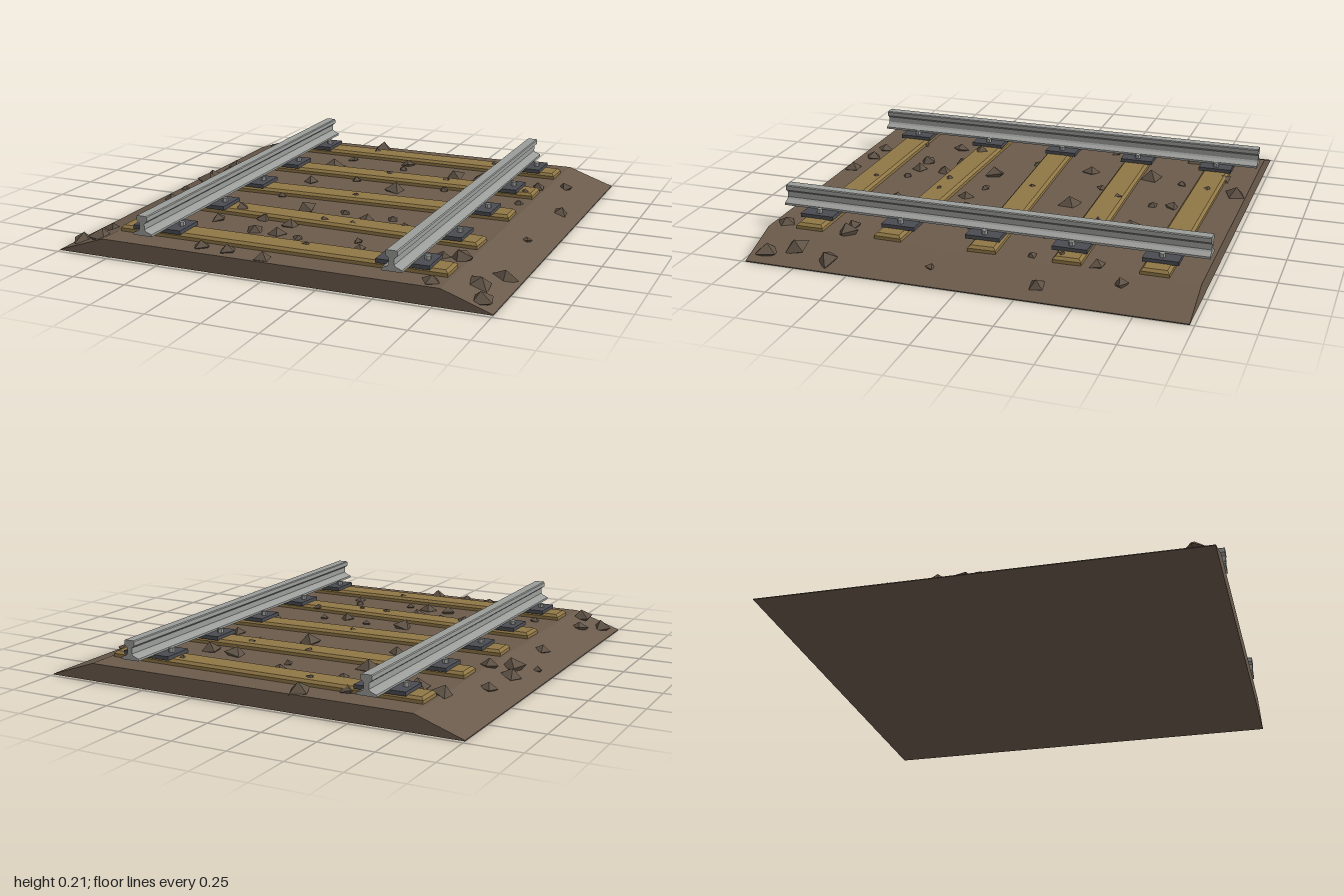
import * as THREE from 'three';
import { mergeGeometries } from 'three/addons/utils/BufferGeometryUtils.js';

const HALF_LENGTH = 0.98;
const SHOULDER = 0.78;
const BED_TOP = 0.08;

const flat = (name, color) => {
  const m = new THREE.MeshStandardMaterial({ color, flatShading: true });
  m.name = name;
  return m;
};

// Small seeded generator for stone shapes
function seeded(seed) {
  return () => {
    seed = (seed * 16807) % 2147483647;
    return seed / 2147483647;
  };
}

// Symmetric profile (right half, bottom to top) run along z
function runAlongTrack(half) {
  const mirrored = half.map(([x, y]) => [-x, y]).reverse();
  const shape = new THREE.Shape([...half, ...mirrored].map(([x, y]) => new THREE.Vector2(x, y)));
  const g = new THREE.ExtrudeGeometry(shape, { depth: 2 * HALF_LENGTH, bevelEnabled: false });
  return g.translate(0, 0, -HALF_LENGTH);
}

// Sleeper with chamfered edges, lying along x, top at the given height
function sleeperGeometry(length, width, height, top) {
  const c = 0.012;
  const x = length / 2 - c, z = width / 2 - c;
  const shape = new THREE.Shape([[-x, -z], [x, -z], [x, z], [-x, z]].map(([a, b]) => new THREE.Vector2(a, b)));
  const g = new THREE.ExtrudeGeometry(shape, {
    depth: height - 2 * c, bevelSize: c, bevelThickness: c, bevelSegments: 1,
  });
  return g.rotateX(-Math.PI / 2).translate(0, top - height + c, 0);
}

// Stone positions [x, z], grouped by radius
const STONES = [
  { radius: 0.06, at: [
    [-0.24, -0.93], [-0.77, -0.68], [-0.65, -0.66], [-0.34, -0.5], [0.44, -0.55], [0.11, -0.22],
    [-0.15, 0.24], [-0.88, -0.2], [-0.85, -0.1], [0.88, 0.79], [0.93, 0.62], [0.93, 0.91],
    [0.74, 0.61], [-0.83, 0.91], [-0.94, 0.89], [0.3, -0.56]] },
  { radius: 0.044, at: [
    [-0.42, -0.84], [0, -0.68], [-0.87, -0.43], [-0.78, -0.2], [-0.33, -0.2], [0.5, -0.22],
    [0.91, -0.32], [0.84, -0.66], [0.74, -0.53], [0.5, 0.12], [-0.86, 0.25], [-0.26, 0.45],
    [-0.11, 0.49], [-0.45, 0.53], [-0.22, 0.62], [-0.11, 0.62], [-0.2, 0.91], [-0.33, 0.9],
    [-0.02, 0.94], [-0.87, 0.75], [0.66, 0.62], [0.72, 0.92], [0.17, 0.27], [-0.4, 0.4]] },
  { radius: 0.028, at: [
    [-0.3, -0.66], [0.01, -0.59], [0.73, -0.24], [-0.13, -0.31], [0.33, -0.31], [-0.93, 0],
    [-0.63, -0.25], [-0.35, 0.08], [0.89, 0.16], [0.28, 0.23], [0.04, 0.22], [0.02, 0.41],
    [0.16, 0.41], [0.26, 0.58], [0.3, 0.66], [0, 0.64], [-0.67, 0.66], [-0.45, 0.73],
    [0.1, 0.76], [-0.22, -0.8], [0, -0.42], [0.31, -0.41], [0, 0], [0.43, -0.79], [0.38, 0.35],
    [0.72, -0.37], [0.66, 0]] },
];
const SLEEPERS = [
  { z: -0.786, turn: -0.008 }, { z: -0.393, turn: 0.012 }, { z: 0, turn: 0.031 },
  { z: 0.393, turn: -0.025 }, { z: 0.786, turn: 0 },
];

function stoneGeometry() {
  const rand = seeded(4711);
  const parts = [];
  for (const { radius, at } of STONES) {
    for (const [x, z] of at) {
      const g = new THREE.OctahedronGeometry(radius);
      g.scale(0.85 + 0.25 * rand(), 0.6 + 0.15 * rand(), 0.75 + 0.3 * rand());
      g.rotateX((rand() - 0.5) * 0.7).rotateY(rand() * Math.PI).rotateZ((rand() - 0.5) * 0.5);
      // Rest on the bed, its sloping shoulder or a sleeper
      const slope = Math.max(0, (Math.abs(x) - SHOULDER) / (1 - SHOULDER));
      const onSleeper = Math.abs(x) < 0.75 && SLEEPERS.some((s) => Math.abs(z - s.z) < 0.05);
      g.translate(x, onSleeper ? 0.1 : BED_TOP * (1 - slope) + 0.002, z);
      // Keep stones above ground
      const p = g.attributes.position;
      for (let i = 0; i < p.count; i++) {
        p.setY(i, Math.max(0.002, p.getY(i)));
        p.setX(i, THREE.MathUtils.clamp(p.getX(i), -0.99, 0.99));
      }
      g.computeVertexNormals();
      parts.push(g);
    }
  }
  return mergeGeometries(parts);
}

export function createModel() {
  const earth = flat('earth brown', 0x6b5b4c);
  const stone = flat('stone brown', 0x5f5245);
  const wood = flat('sleeper wood', 0x8f7645);
  const steel = flat('rail steel', 0x9b9d9a);
  const iron = flat('plate iron', 0x4b4c52);

  const model = new THREE.Group();
  model.name = 'railwayTrack';
  const add = (parent, name, geometry, material, x = 0, y = 0, z = 0) => {
    const mesh = new THREE.Mesh(geometry, material);
    mesh.name = name;
    mesh.position.set(x, y, z);
    parent.add(mesh);
    return mesh;
  };

  // Ballast bed with sloping shoulders, and loose stones
  add(model, 'ballastBed', runAlongTrack([[1, 0], [1, 0.004], [SHOULDER, BED_TOP]]), earth);
  add(model, 'looseStones', stoneGeometry(), stone);

  // Rails with foot, web and head
  const railGeometry = runAlongTrack([
    [0.045, 0.121], [0.045, 0.131], [0.018, 0.142], [0.012, 0.15], [0.012, 0.176],
    [0.026, 0.187], [0.026, 0.206], [0.022, 0.21],
  ]);
  for (const side of [-1, 1]) {
    add(model, side > 0 ? 'leftRail' : 'rightRail', railGeometry, steel, side * 0.574);
  }

  // Sleepers, each with two tie plates and four bolts
  const sleeper = sleeperGeometry(1.53, 0.126, 0.065, 0.107);
  const plate = new THREE.BoxGeometry(0.235, 0.018, 0.156);
  const bolt = new THREE.CylinderGeometry(0.014, 0.014, 0.02, 6);
  for (const { z, turn } of SLEEPERS) {
    const group = new THREE.Group();
    group.name = 'sleeperAssembly';
    group.position.z = z;
    model.add(group);
    add(group, 'sleeper', sleeper, wood).rotation.y = turn;
    for (const side of [-1, 1]) {
      add(group, 'tiePlate', plate, iron, side * 0.574, 0.114);
      for (const offset of [-0.083, 0.083]) {
        add(group, 'bolt', bolt, steel, side * 0.574 + offset, 0.131);
      }
    }
  }
  return model;
}
